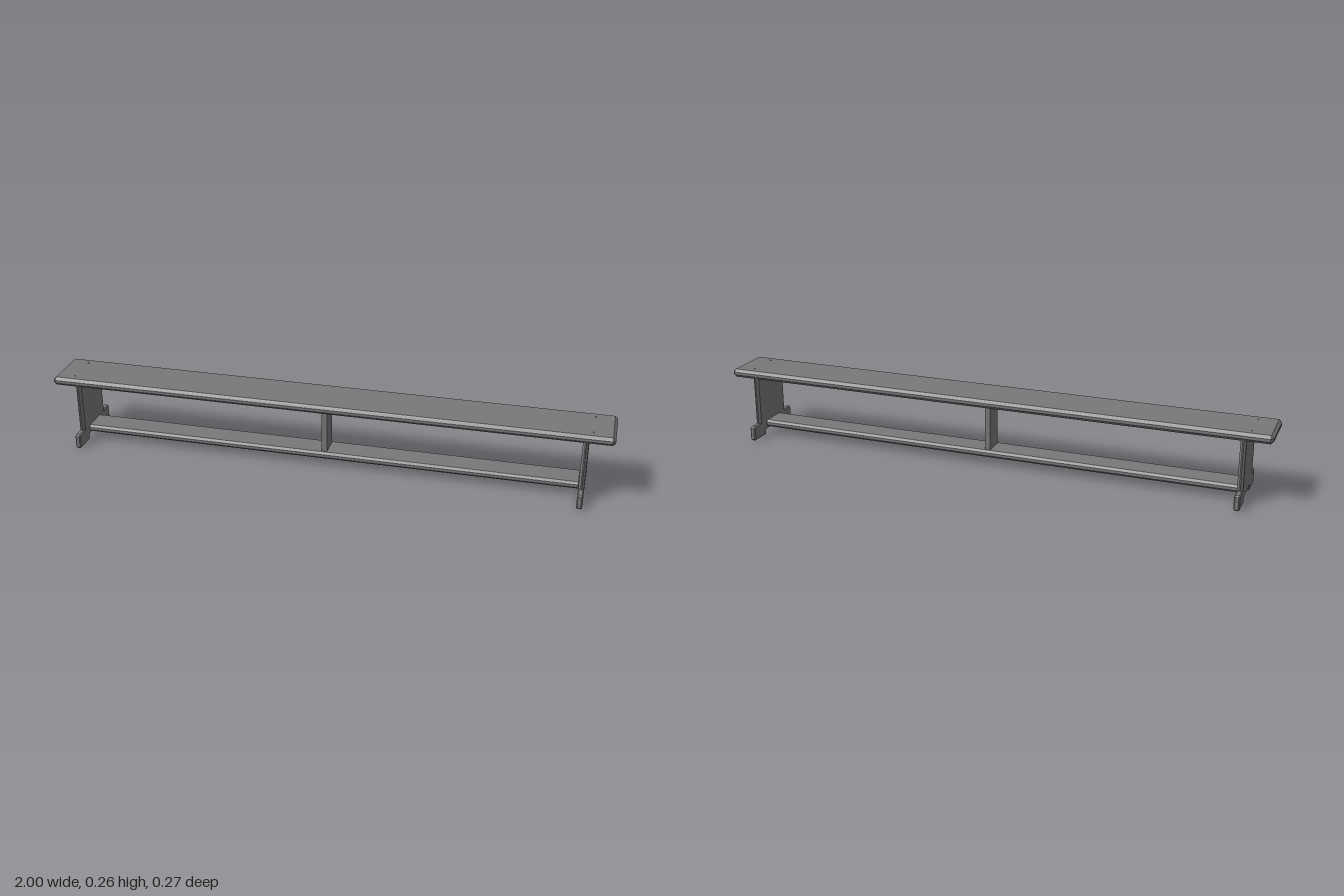
import * as THREE from 'three';
import { ConvexGeometry } from 'three/addons/geometries/ConvexGeometry.js';

const material = new THREE.MeshStandardMaterial({ color: 0x787878, flatShading: true });

// Box with every edge chamfered by c: each corner becomes three points.
function chamferBox(w, h, d, c) {
  const points = [];
  for (const x of [-1, 1]) for (const y of [-1, 1]) for (const z of [-1, 1])
    for (let axis = 0; axis < 3; axis++) {
      const inset = [c, c, c];
      inset[axis] = 0;
      points.push(new THREE.Vector3(
        x * (w / 2 - inset[0]), y * (h / 2 - inset[1]), z * (d / 2 - inset[2])));
    }
  return new ConvexGeometry(points);
}

// Foot outline in (z, y), mirrored, extruded through the thickness with a small bevel.
function footGeometry(thickness, bevel) {
  const half = [
    [0.05, 0.024], [0.058, 0.014], [0.058, 0.004],
    [0.128, 0.004], [0.13, 0.006], [0.13, 0.048], [0.128, 0.05],
  ];
  const outline = [...half, ...half.map(([z, y]) => [-z, y]).reverse()];
  const shape = new THREE.Shape(outline.map(([z, y]) => new THREE.Vector2(z, y)));
  const geometry = new THREE.ExtrudeGeometry(shape, {
    depth: thickness - 2 * bevel, bevelThickness: bevel, bevelSize: bevel, bevelSegments: 1,
  });
  geometry.translate(0, 0, -thickness / 2 + bevel);
  return geometry.rotateY(Math.PI / 2);
}

export function createModel() {
  const model = new THREE.Group();
  model.name = 'bench';

  function add(name, geometry, x, y, z, parent = model) {
    const mesh = new THREE.Mesh(geometry, material);
    mesh.name = name;
    mesh.position.set(x, y, z);
    parent.add(mesh);
  }

  // Seat plank
  add('seat', chamferBox(2, 0.03, 0.186, 0.01), 0, 0.242, 0);

  // End supports: upright board on a wide notched foot
  const upright = chamferBox(0.02, 0.21, 0.184, 0.008);
  const foot = footGeometry(0.02, 0.004);
  const screw = new THREE.CylinderGeometry(0.001, 0.004, 0.002, 8);
  for (const side of [-1, 1]) {
    const leg = new THREE.Group();
    leg.name = side > 0 ? 'leftLeg' : 'rightLeg';
    leg.position.x = side * 0.904;
    add('upright', upright, 0, 0.137, 0, leg);
    add('foot', foot, 0, 0, 0, leg);
    model.add(leg);

    // Screw heads just proud of the seat
    for (const z of [-0.058, 0.058]) add('screwHead', screw, side * 0.925, 0.2575, z);
  }

  // Lower rail and the post that carries the middle of the seat
  add('lowerRail', chamferBox(1.8, 0.026, 0.1, 0.008), 0, 0.042, 0);
  add('centrePost', new THREE.BoxGeometry(0.02, 0.178, 0.074), 0, 0.141, 0);

  return model;
}
